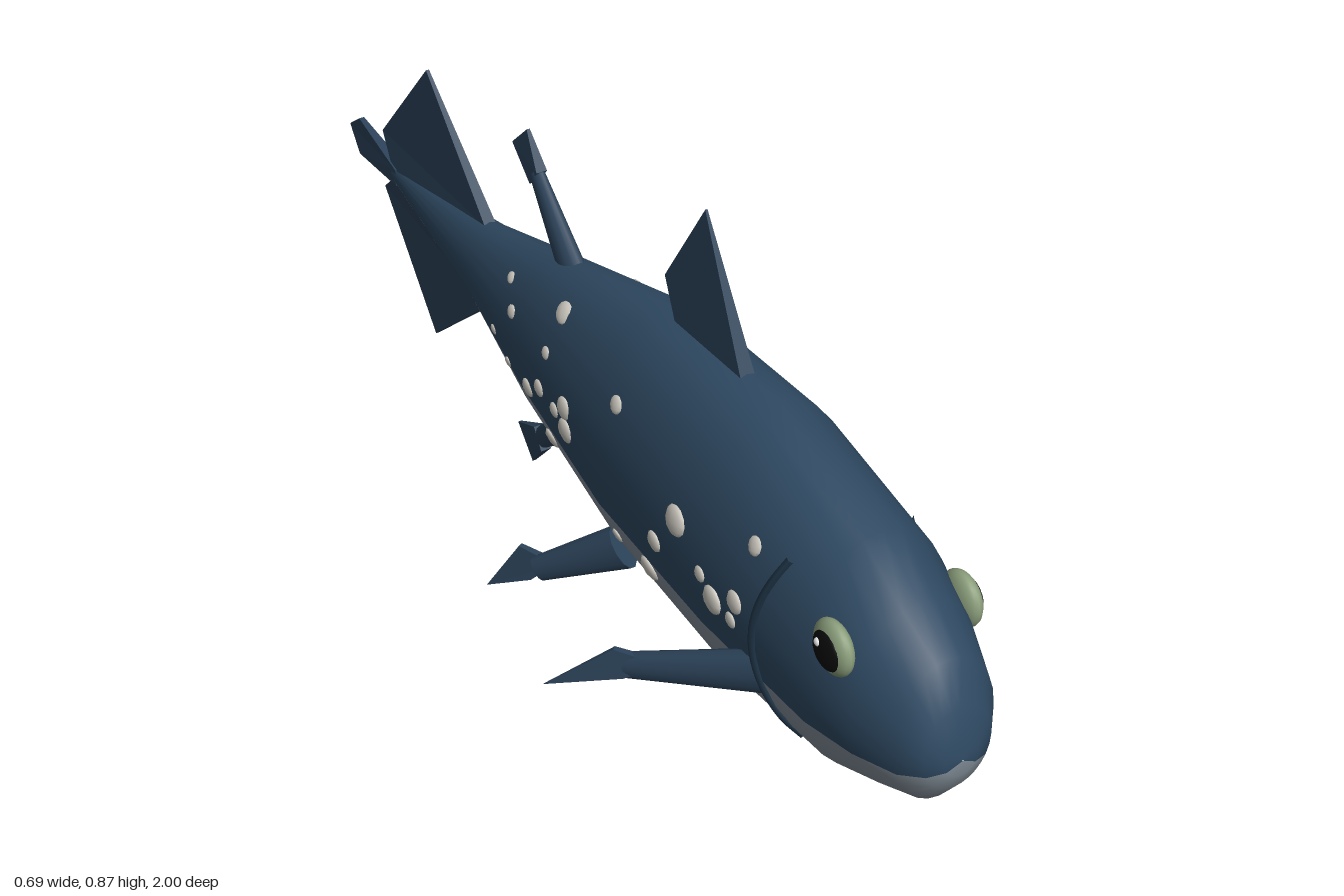
import * as THREE from 'three';

const paint = (name, color) => {
  const m = new THREE.MeshStandardMaterial({ color });
  m.name = name;
  return m;
};

// Body stations: z, top, bottom, half width, height of the belly colour line
const RINGS = [
  [1.0, 0.331, 0.329, 0.001, 0.32],
  [0.997, 0.365, 0.3, 0.03, 0.315],
  [0.985, 0.42, 0.268, 0.06, 0.308],
  [0.95, 0.485, 0.222, 0.088, 0.3],
  [0.87, 0.535, 0.19, 0.116, 0.29],
  [0.77, 0.597, 0.15, 0.135, 0.285],
  [0.49, 0.652, 0.122, 0.144, 0.28],
  [0.15, 0.635, 0.14, 0.133, 0.28],
  [-0.19, 0.535, 0.205, 0.09, 0.3],
  [-0.44, 0.46, 0.288, 0.052, 0.325],
  [-0.81, 0.383, 0.352, 0.012, 0.362],
  [-0.83, 0.37, 0.368, 0.001, 0.369],
];

// Ellipse of the body at a given z
function sectionAt(z) {
  let i = 0;
  while (i < RINGS.length - 2 && RINGS[i + 1][0] > z) i++;
  const a = RINGS[i], b = RINGS[i + 1];
  const [, top, bottom, w] = a.map((v, k) => THREE.MathUtils.lerp(v, b[k], (a[0] - z) / (a[0] - b[0])));
  return { c: (top + bottom) / 2, h: (top - bottom) / 2, w };
}

// Point and outward normal on the left flank
function flank(z, y) {
  const { c, h, w } = sectionAt(z);
  const s = THREE.MathUtils.clamp((y - c) / h, -0.98, 0.98);
  const k = Math.sqrt(1 - s * s);
  return { p: new THREE.Vector3(w * k, c + h * s, z), n: new THREE.Vector3(k / w, s / h, 0).normalize() };
}

// Smooth body: back and belly are two material groups on shared rings
function bodyGeometry() {
  const BACK = 16, BELLY = 10, N = BACK + BELLY;
  const pos = [], back = [], belly = [];
  RINGS.forEach(([z, top, bottom, w, line], i) => {
    const c = (top + bottom) / 2, h = (top - bottom) / 2;
    const phi = Math.asin(THREE.MathUtils.clamp((line - c) / h, -0.8, -0.2));
    for (let k = 0; k < N; k++) {
      const t = k < BACK
        ? phi + (Math.PI - 2 * phi) * k / BACK
        : Math.PI - phi + (Math.PI + 2 * phi) * (k - BACK) / BELLY;
      pos.push(w * Math.cos(t), c + h * Math.sin(t), z);
      if (i < RINGS.length - 1) {
        const a = i * N + k, b = i * N + (k + 1) % N;
        (k < BACK ? back : belly).push(a, a + N, b, b, a + N, b + N);
      }
    }
  });
  const g = new THREE.BufferGeometry();
  g.setAttribute('position', new THREE.Float32BufferAttribute(pos, 3));
  g.setIndex([...back, ...belly]);
  g.addGroup(0, back.length, 0);
  g.addGroup(back.length, belly.length, 1);
  g.computeVertexNormals();
  return g;
}

// Thin flat blade over a convex outline; thick[i] is the half thickness at each corner
function bladeGeometry(points, thick) {
  const P = points.map(p => new THREE.Vector3(...p));
  const n = new THREE.Vector3();
  P.forEach((p, i) => n.add(p.clone().cross(P[(i + 1) % P.length])));
  n.normalize();
  const F = P.map((p, i) => p.clone().addScaledVector(n, thick[i]));
  const B = P.map((p, i) => p.clone().addScaledVector(n, -thick[i]));
  const tris = [];
  for (let i = 1; i < P.length - 1; i++) tris.push(F[0], F[i], F[i + 1], B[0], B[i + 1], B[i]);
  P.forEach((_, i) => {
    const j = (i + 1) % P.length;
    tris.push(F[i], B[i], B[j], F[i], B[j], F[j]);
  });
  const g = new THREE.BufferGeometry().setFromPoints(tris);
  g.computeVertexNormals();
  return g;
}

// Fleshy fin stalk, flattened sideways
function stalkGeometry(from, to, r0, r1, flat = 0.6) {
  const a = new THREE.Vector3(...from), b = new THREE.Vector3(...to);
  const dir = b.clone().sub(a);
  const g = new THREE.CylinderGeometry(r1, r0, dir.length(), 12);
  g.scale(flat, 1, 1);
  dir.normalize();
  const side = dir.clone().cross(new THREE.Vector3(0, 1, 0)).normalize();
  g.applyMatrix4(new THREE.Matrix4().makeBasis(side, dir, side.clone().cross(dir)));
  const mid = a.add(b).multiplyScalar(0.5);
  return g.translate(mid.x, mid.y, mid.z);
}

export function createModel() {
  const fish = new THREE.Group();
  fish.name = 'fish';
  const skin = paint('slateBlue', 0x2f4a63);
  const pale = paint('bellyGrey', 0x84909a);
  const finMat = paint('finBlue', 0x2c435a);
  const gillMat = paint('gillDark', 0x1e3345);
  const spotMat = paint('spotCream', 0xcfcbc2);
  const eyeMat = paint('eyeGreen', 0x8b9f7c);
  const black = paint('pupilBlack', 0x0a0a0c);
  const white = paint('glintWhite', 0xf4f4f4);
  const add = (name, geometry, material) => {
    const m = new THREE.Mesh(geometry, material);
    m.name = name;
    fish.add(m);
    return m;
  };

  add('body', bodyGeometry(), [skin, pale]);

  // Midline fins, outlines as [z, y]
  const midFin = (name, outline, thick) =>
    add(name, bladeGeometry(outline.map(([z, y]) => [0, y, z]), thick), finMat);
  midFin('frontDorsalFin', [[0.4, 0.64], [0.27, 0.875], [0.165, 0.7], [0.21, 0.62]], [0.013, 0.002, 0.009, 0.013]);
  midFin('upperTailFin', [[-0.44, 0.455], [-0.665, 0.655], [-0.855, 0.435], [-0.8, 0.37]], [0.011, 0.003, 0.003, 0.01]);
  midFin('lowerTailFin', [[-0.44, 0.29], [-0.665, 0.095], [-0.855, 0.315], [-0.8, 0.365]], [0.011, 0.003, 0.003, 0.01]);
  midFin('tailLobe', [[-0.79, 0.385], [-0.95, 0.412], [-1, 0.375], [-0.955, 0.333], [-0.79, 0.352]],
    [0.012, 0.005, 0.001, 0.005, 0.012]);

  // Lobed rear dorsal fin and anal fin
  add('rearDorsalStalk', stalkGeometry([0, 0.52, -0.14], [0, 0.655, -0.268], 0.036, 0.019), finMat);
  midFin('rearDorsalFan', [[-0.25, 0.665], [-0.295, 0.725], [-0.347, 0.675], [-0.275, 0.632]], [0.01, 0.003, 0.003, 0.01]);
  add('analStalk', stalkGeometry([0, 0.225, -0.14], [0, 0.105, -0.268], 0.036, 0.019), finMat);
  midFin('analFan', [[-0.25, 0.09], [-0.295, 0.038], [-0.347, 0.092], [-0.275, 0.128]], [0.01, 0.003, 0.003, 0.01]);

  // Raised spots on the flank: z, y, radius
  const spots = [
    [0.615, 0.51, 0.016], [0.42, 0.435, 0.027], [0.595, 0.397, 0.02], [0.535, 0.36, 0.025], [0.5, 0.387, 0.014],
    [0.585, 0.355, 0.014], [0.355, 0.35, 0.019], [0.31, 0.258, 0.024], [0.595, 0.225, 0.016], [0.2, 0.51, 0.016],
    [0.187, 0.236, 0.014], [0.03, 0.397, 0.021], [0.035, 0.355, 0.023], [-0.013, 0.365, 0.014], [-0.048, 0.525, 0.02],
    [-0.063, 0.445, 0.012], [-0.08, 0.365, 0.016], [-0.068, 0.263, 0.02], [-0.138, 0.327, 0.018], [-0.257, 0.47, 0.011],
    [-0.24, 0.312, 0.011], [-0.3, 0.343, 0.01], [-0.218, 0.43, 0.013],
  ];
  const spotGeo = new THREE.SphereGeometry(1, 8, 6);

  for (const s of [1, -1]) {
    const side = s > 0 ? 'left' : 'right';
    const mir = ([x, y, z]) => [x * s, y, z];

    // Paired lobed fins
    add(side + 'PectoralStalk', stalkGeometry(mir([0.11, 0.282, 0.64]), mir([0.245, 0.212, 0.45]), 0.04, 0.024), finMat);
    add(side + 'PectoralFan', bladeGeometry([[0.205, 0.235, 0.5], [0.26, 0.245, 0.44], [0.345, 0.153, 0.365],
      [0.25, 0.195, 0.455]].map(mir), [0.008, 0.005, 0.001, 0.008]), finMat);
    add(side + 'PelvicStalk', stalkGeometry(mir([0.075, 0.175, 0.15]), mir([0.165, 0.075, 0.02]), 0.042, 0.024), finMat);
    add(side + 'PelvicFan', bladeGeometry([[0.145, 0.1, 0.05], [0.18, 0.108, -0.015], [0.219, 0.002, -0.066],
      [0.17, 0.05, 0.01]].map(mir), [0.008, 0.005, 0.001, 0.008]), finMat);

    // Gill cover edge
    const arc = [];
    for (let i = 0; i <= 10; i++) {
      const u = i / 10, { p } = flank(0.69 - 0.045 * Math.sin(Math.PI * u), 0.53 - 0.355 * u);
      arc.push(p.setX(p.x * s));
    }
    add(side + 'GillEdge', new THREE.TubeGeometry(new THREE.CatmullRomCurve3(arc), 24, 0.007, 6), gillMat);

    // Eye, pupil and glint as flattened spheres
    const disc = (name, x, y, z, r, depth, mat) => {
      const m = add(side + name, new THREE.SphereGeometry(1, 20, 14), mat);
      m.scale.set(depth, r, r);
      m.position.set(x * s, y, z);
    };
    disc('Eye', 0.113, 0.463, 0.823, 0.046, 0.021, eyeMat);
    disc('Pupil', 0.124, 0.462, 0.823, 0.034, 0.014, black);
    disc('Glint', 0.135, 0.474, 0.812, 0.007, 0.005, white);

    spots.forEach(([z, y, r], i) => {
      const { p, n } = flank(z, y);
      p.x *= s;
      n.x *= s;
      const m = add(`${side}Spot${i + 1}`, spotGeo, spotMat);
      m.position.copy(p);
      m.quaternion.setFromUnitVectors(new THREE.Vector3(0, 0, 1), n);
      m.scale.set(r, r, r * 0.35);
    });
  }
  return fish;
}
